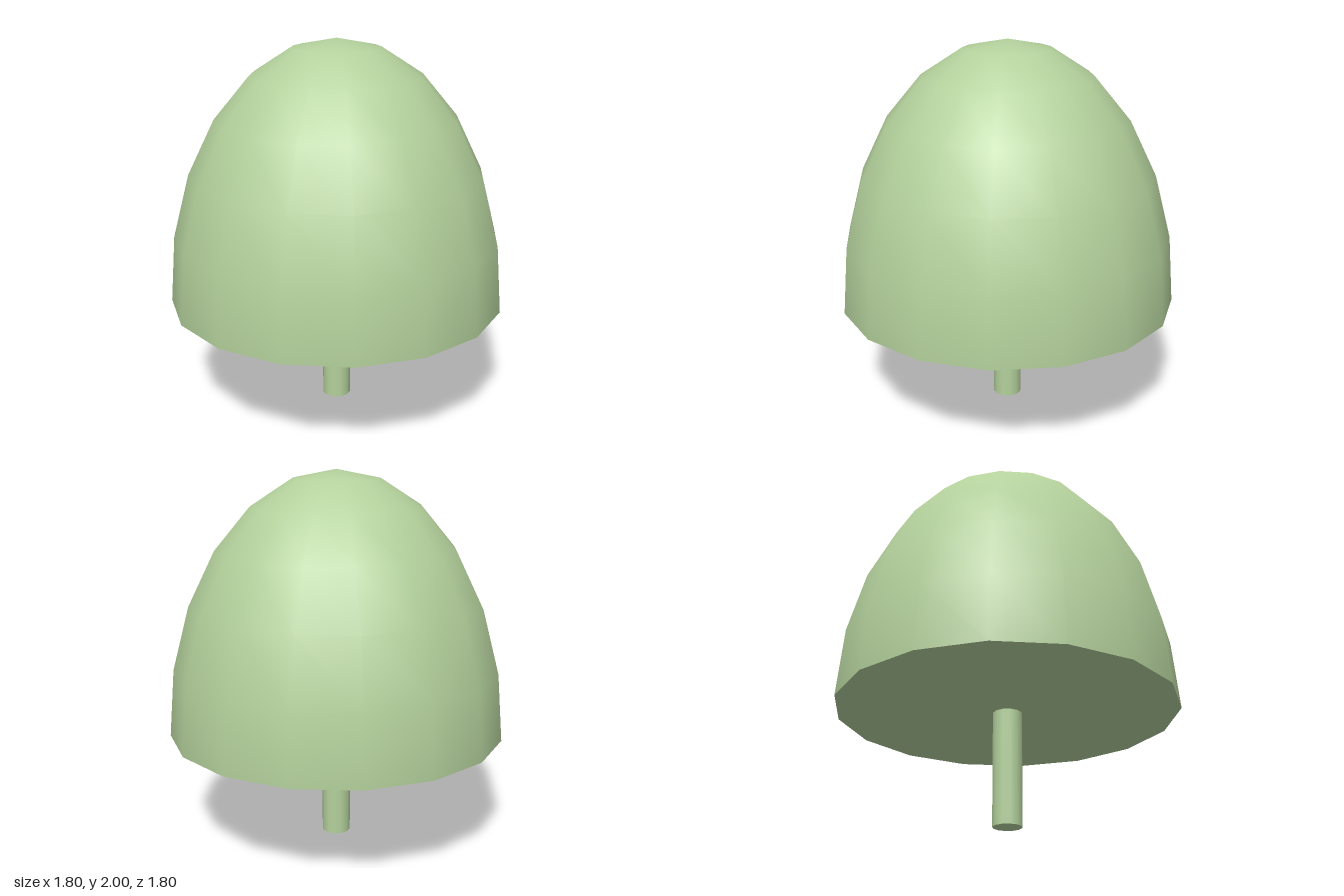
import * as THREE from 'three';

export function createModel() {
  const group = new THREE.Group();
  const material = new THREE.MeshStandardMaterial({ color: 0xb4d19c });

  function add(name, geometry, y) {
    const mesh = new THREE.Mesh(geometry, material);
    mesh.name = name;
    mesh.position.y = y;
    group.add(mesh);
    return mesh;
  }

  const domeRadius = 0.9, domeHeight = 1.4, stemHeight = 0.6, sides = 16;

  // Smooth-shaded half ellipsoid
  const dome = new THREE.SphereGeometry(1, sides, 6, 0, Math.PI * 2, 0, Math.PI / 2);
  dome.scale(domeRadius, domeHeight, domeRadius);
  add('dome', dome, stemHeight);

  // Flat underside closing the dome
  const underside = new THREE.CircleGeometry(domeRadius, sides);
  underside.rotateX(Math.PI / 2);
  add('domeUnderside', underside, stemHeight);

  // Thin stem standing on the ground
  add('stem', new THREE.CylinderGeometry(0.077, 0.077, stemHeight, 12), stemHeight / 2);

  return group;
}
